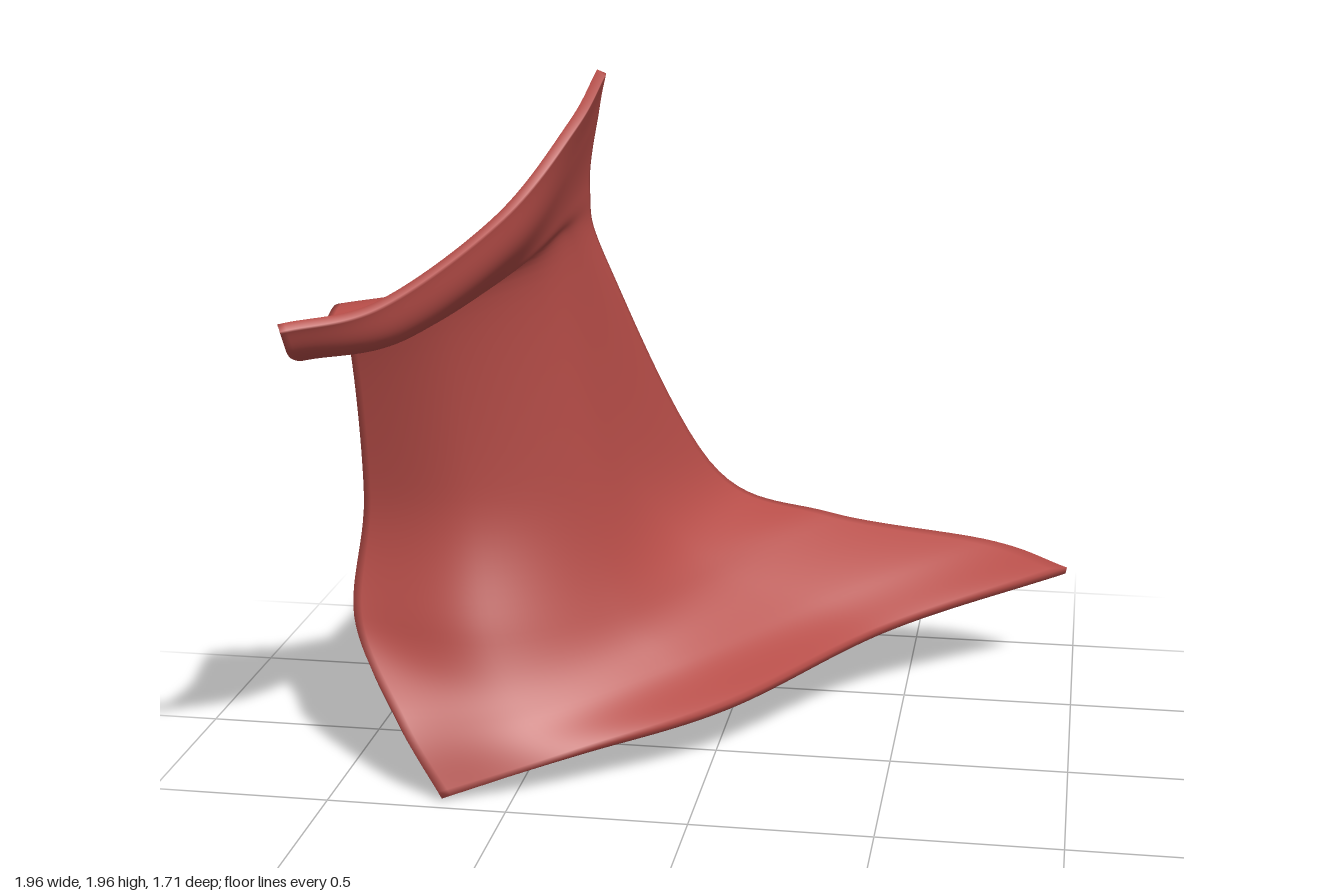
import * as THREE from 'three';

// Cross-sections of the draped sheet, from the bottom hem to the curled lip.
// Each runs from the left side, across the wall, to the outer edge of the wing.
const sections = [
  [[-0.69, 0.02, 0.45], [-0.33, 0.12, 0.32], [0.05, 0.18, 0.06], [0.45, 0.25, -0.43], [0.97, 0.34, -0.79]],
  [[-0.82, 0.21, 0.4], [-0.48, 0.22, 0.29], [-0.13, 0.26, 0], [0.25, 0.32, -0.42], [0.73, 0.4, -0.84]],
  [[-0.98, 0.45, 0.24], [-0.61, 0.42, 0.25], [-0.29, 0.42, 0], [-0.05, 0.45, -0.33], [0.25, 0.5, -0.73]],
  [[-0.96, 0.8, 0.17], [-0.66, 0.8, 0.16], [-0.39, 0.78, 0], [-0.26, 0.73, -0.27], [-0.1, 0.68, -0.58]],
  [[-0.95, 1.34, 0.33], [-0.7, 1.37, 0.25], [-0.48, 1.42, 0.1], [-0.4, 1.43, -0.05], [-0.35, 1.38, -0.21]],
  [[-0.95, 1.31, 0.6], [-0.73, 1.34, 0.48], [-0.5, 1.48, 0.3], [-0.41, 1.58, 0.09], [-0.38, 1.62, -0.1]],
  [[-0.95, 1.35, 0.78], [-0.71, 1.38, 0.65], [-0.47, 1.56, 0.42], [-0.37, 1.74, 0.17], [-0.33, 1.86, 0]],
  [[-0.95, 1.43, 0.85], [-0.73, 1.47, 0.72], [-0.48, 1.65, 0.48], [-0.34, 1.85, 0.24], [-0.29, 1.97, 0.1]],
];

const NU = 60, NV = 80, HALF = 0.013;
const spline = (pts) => new THREE.CatmullRomCurve3(pts, false, 'catmullrom', 0.5);

// Smooth grid of points running through all the sections
function sheetPoints() {
  const rows = sections.map((s) => spline(s.map((p) => new THREE.Vector3(...p))));
  const grid = [];
  for (let i = 0; i <= NU; i++) {
    const column = spline(rows.map((r) => r.getPoint(i / NU)));
    for (let j = 0; j <= NV; j++) grid.push(column.getPoint(j / NV));
  }
  return grid;
}

function gridIndex(offset, flip) {
  const index = [];
  for (let i = 0; i < NU; i++) {
    for (let j = 0; j < NV; j++) {
      const a = offset + i * (NV + 1) + j, b = a + NV + 1;
      if (flip) index.push(a, a + 1, b, b, a + 1, b + 1);
      else index.push(a, b, a + 1, b, b + 1, a + 1);
    }
  }
  return index;
}

// Thickens the sheet along its normals and closes the rim
function shellGeometry() {
  const pts = sheetPoints();
  const mid = new THREE.BufferGeometry().setFromPoints(pts);
  mid.setIndex(gridIndex(0, false));
  mid.computeVertexNormals();
  const n = mid.attributes.normal;
  const side = (d) => pts.map((p, k) =>
    p.clone().addScaledVector(new THREE.Vector3().fromBufferAttribute(n, k), d));

  const total = pts.length, id = (i, j) => i * (NV + 1) + j;
  const index = [...gridIndex(0, false), ...gridIndex(total, true)];
  const rim = (a, b) => index.push(a, a + total, b, b, a + total, b + total);
  for (let i = 0; i < NU; i++) {
    rim(id(i, 0), id(i + 1, 0));
    rim(id(i + 1, NV), id(i, NV));
  }
  for (let j = 0; j < NV; j++) {
    rim(id(NU, j), id(NU, j + 1));
    rim(id(0, j + 1), id(0, j));
  }
  const geo = new THREE.BufferGeometry().setFromPoints([...side(HALF), ...side(-HALF)]);
  geo.setIndex(index);
  geo.computeVertexNormals();
  return geo;
}

export function createModel() {
  const group = new THREE.Group();
  group.name = 'drapedSheet';
  const red = new THREE.MeshStandardMaterial({ color: 0xb54c47, side: THREE.DoubleSide });
  red.name = 'brick red';
  const sheet = new THREE.Mesh(shellGeometry(), red);
  sheet.name = 'curvedSheet';
  group.add(sheet);
  return group;
}
